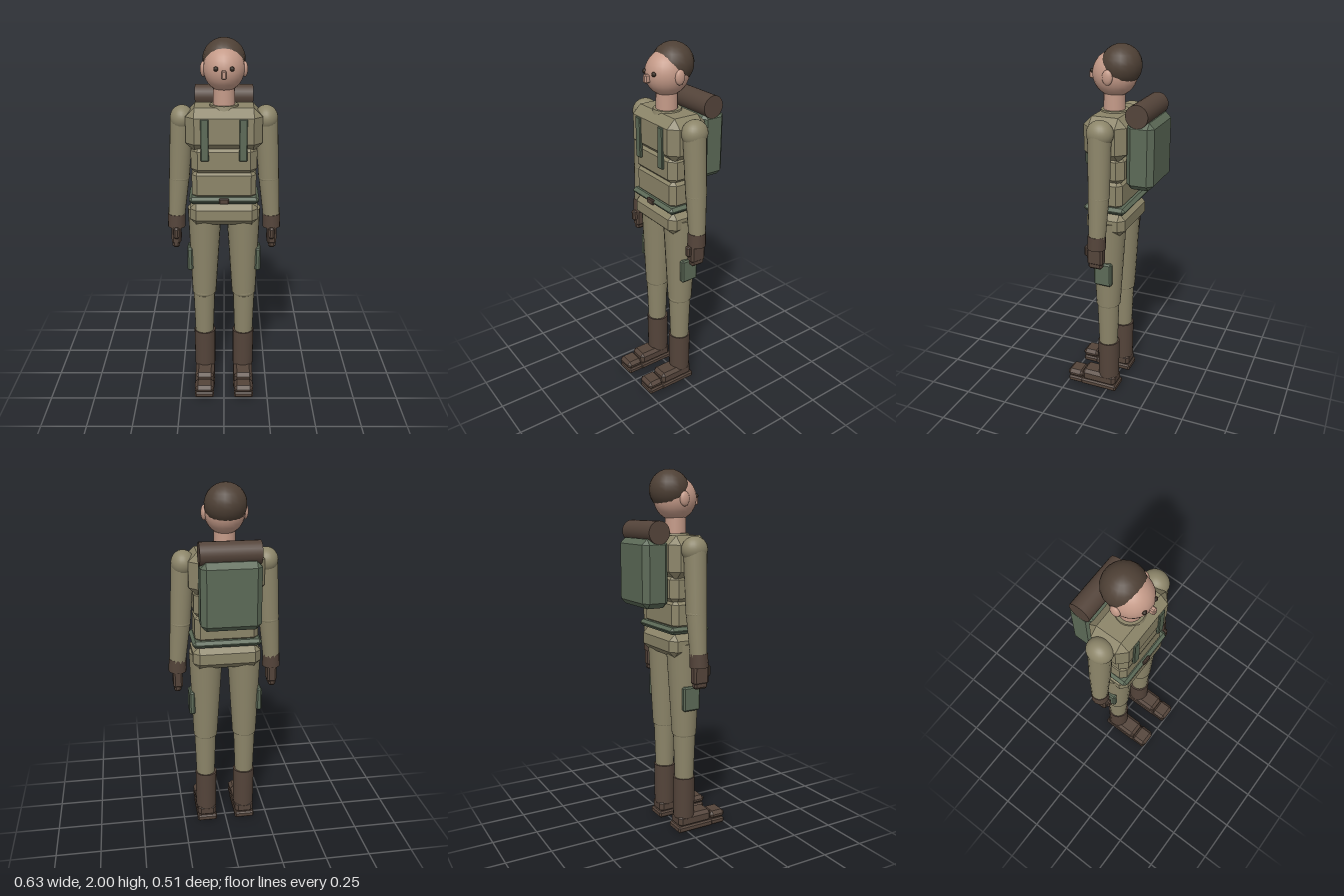
import * as THREE from 'three';
import { ConvexGeometry } from 'three/addons/geometries/ConvexGeometry.js';

const mat = (name, color) => {
  const m = new THREE.MeshStandardMaterial({ color });
  m.name = name;
  return m;
};

export function createModel() {
  const khaki = mat('khaki cloth', 0x8c8569);
  const green = mat('green canvas', 0x5c6a57);
  const brown = mat('brown leather', 0x54443a);
  const hairBrown = mat('brown hair', 0x4e4035);
  const skin = mat('skin', 0xc49a88);
  const dark = mat('dark eyes', 0x33281f);

  const model = new THREE.Group();
  model.name = 'hiker';

  const add = (parent, name, geometry, material, x = 0, y = 0, z = 0) => {
    const mesh = new THREE.Mesh(geometry, material);
    mesh.name = name;
    mesh.position.set(x, y, z);
    parent.add(mesh);
    return mesh;
  };

  // Box with flat chamfered edges, given by its min and max corners
  const box = (parent, name, material, min, max, bevel) => {
    const half = min.map((v, i) => (max[i] - v) / 2);
    const points = [];
    for (const sx of [-1, 1]) for (const sy of [-1, 1]) for (const sz of [-1, 1]) {
      const s = [sx, sy, sz];
      for (let axis = 0; axis < 3; axis++) {
        points.push(new THREE.Vector3(
          ...half.map((h, i) => s[i] * (i === axis ? h : h - bevel))));
      }
    }
    return add(parent, name, new ConvexGeometry(points), material,
      ...min.map((v, i) => (v + max[i]) / 2));
  };

  const ball = (parent, name, material, center, radii, segs = 24) => {
    const mesh = add(parent, name, new THREE.SphereGeometry(1, segs, Math.ceil(segs * 0.7)), material, ...center);
    mesh.scale.set(...radii);
    return mesh;
  };

  // Tapered limb from its top point to its bottom point
  const limb = (parent, name, material, top, bottom, rTop, rBottom, segs = 20) => {
    const a = new THREE.Vector3(...top);
    const b = new THREE.Vector3(...bottom);
    const mesh = add(parent, name, new THREE.CylinderGeometry(rTop, rBottom, a.distanceTo(b), segs), material);
    mesh.position.copy(a).add(b).multiplyScalar(0.5);
    mesh.quaternion.setFromUnitVectors(new THREE.Vector3(0, 1, 0), a.clone().sub(b).normalize());
    return mesh;
  };

  // Head and face
  const head = new THREE.Group();
  head.name = 'head';
  model.add(head);
  ball(head, 'face', skin, [0, 1.85, 0.01], [0.107, 0.117, 0.118]);
  ball(head, 'hair', hairBrown, [0, 1.893, -0.025], [0.111, 0.107, 0.107], 18);
  box(head, 'nose', skin, [-0.013, 1.815, 0.11], [0.013, 1.858, 0.15], 0.006);
  for (const s of [-1, 1]) {
    ball(head, 'eye', dark, [s * 0.04, 1.863, 0.118], [0.013, 0.012, 0.011], 12);
    ball(head, 'ear', skin, [s * 0.107, 1.846, 0.008], [0.016, 0.039, 0.028], 14);
  }
  limb(head, 'neck', skin, [0, 1.77, 0.013], [0, 1.63, 0.013], 0.056, 0.058);

  // Jacket, built from stacked chamfered blocks
  const torso = new THREE.Group();
  torso.name = 'torso';
  model.add(torso);
  limb(torso, 'collar', khaki, [0, 1.668, 0.01], [0, 1.61, 0.01], 0.074, 0.088);
  box(torso, 'chest', khaki, [-0.2, 1.43, -0.115], [0.2, 1.66, 0.12], 0.046);
  box(torso, 'ribs', khaki, [-0.175, 1.3, -0.1], [0.175, 1.47, 0.106], 0.036);
  box(torso, 'waist', khaki, [-0.172, 1.165, -0.092], [0.172, 1.33, 0.1], 0.028);
  box(torso, 'hips', khaki, [-0.185, 1.018, -0.11], [0.185, 1.145, 0.112], 0.034);
  box(torso, 'belt', green, [-0.188, 1.148, -0.117], [0.188, 1.185, 0.12], 0.016);
  box(torso, 'buckle', brown, [-0.027, 1.15, 0.11], [0.027, 1.183, 0.127], 0.005);

  // Backpack with rolled bedding on top
  const pack = new THREE.Group();
  pack.name = 'backpack';
  model.add(pack);
  box(pack, 'packBody', green, [-0.157, 1.288, -0.254], [0.157, 1.645, -0.106], 0.029);
  const roll = add(pack, 'bedroll', new THREE.CylinderGeometry(0.06, 0.06, 0.314, 24), brown, 0, 1.677, -0.168);
  roll.rotation.z = Math.PI / 2;
  for (const s of [-1, 1]) {
    box(pack, 'shoulderStrap', green, [s * 0.1 - 0.021, 1.39, 0.112], [s * 0.1 + 0.021, 1.612, 0.129], 0.004);
  }

  for (const s of [-1, 1]) {
    // Arm, glove and hand
    const arm = new THREE.Group();
    arm.name = s > 0 ? 'leftArm' : 'rightArm';
    model.add(arm);
    ball(arm, 'shoulder', khaki, [s * 0.221, 1.592, 0], [0.063, 0.068, 0.071]);
    limb(arm, 'upperArm', khaki, [s * 0.222, 1.6, 0.002], [s * 0.242, 1.27, 0], 0.061, 0.056);
    ball(arm, 'elbow', khaki, [s * 0.242, 1.265, 0], [0.056, 0.03, 0.056]);
    limb(arm, 'forearm', khaki, [s * 0.241, 1.29, 0], [s * 0.263, 1.03, 0.004], 0.056, 0.045);
    limb(arm, 'gloveCuff', brown, [s * 0.262, 1.056, 0.005], [s * 0.264, 0.982, 0.007], 0.048, 0.05, 12);
    box(arm, 'palm', brown, [s * 0.265 - 0.026, 0.89, -0.034], [s * 0.265 + 0.026, 0.995, 0.054], 0.01);
    box(arm, 'fingers', brown, [s * 0.267 - 0.02, 0.866, -0.03], [s * 0.267 + 0.02, 0.92, 0.05], 0.01);
    box(arm, 'thumb', brown, [s * 0.262 - 0.016, 0.926, 0.035], [s * 0.262 + 0.016, 0.99, 0.074], 0.009);

    // Trouser leg with side pouch
    const leg = new THREE.Group();
    leg.name = s > 0 ? 'leftLeg' : 'rightLeg';
    model.add(leg);
    limb(leg, 'thigh', khaki, [s * 0.106, 1.09, 0], [s * 0.113, 0.575, 0.004], 0.094, 0.068);
    ball(leg, 'knee', khaki, [s * 0.114, 0.58, 0.006], [0.065, 0.038, 0.067]);
    limb(leg, 'shin', khaki, [s * 0.114, 0.6, 0.005], [s * 0.115, 0.3, 0.005], 0.063, 0.053);
    box(leg, 'thighPouch', green, [s * 0.19 - 0.016, 0.725, -0.048], [s * 0.19 + 0.016, 0.86, 0.053], 0.008);

    // Boot
    const boot = new THREE.Group();
    boot.name = s > 0 ? 'leftBoot' : 'rightBoot';
    model.add(boot);
    const cx = s * 0.113;
    limb(boot, 'bootShaft', brown, [cx, 0.32, 0.004], [cx, 0.09, 0.004], 0.062, 0.06);
    ball(boot, 'heel', brown, [cx, 0.09, 0.004], [0.06, 0.03, 0.06]);
    box(boot, 'bootUpper', brown, [cx - 0.055, 0.027, -0.05], [cx + 0.055, 0.1, 0.16], 0.018);
    box(boot, 'sole', brown, [cx - 0.058, 0, -0.058], [cx + 0.058, 0.036, 0.166], 0.008);
    box(boot, 'toeCap', brown, [cx - 0.055, 0.03, 0.155], [cx + 0.055, 0.078, 0.255], 0.018);
    box(boot, 'toeSole', brown, [cx - 0.055, 0, 0.155], [cx + 0.055, 0.034, 0.248], 0.008);
  }

  return model;
}
